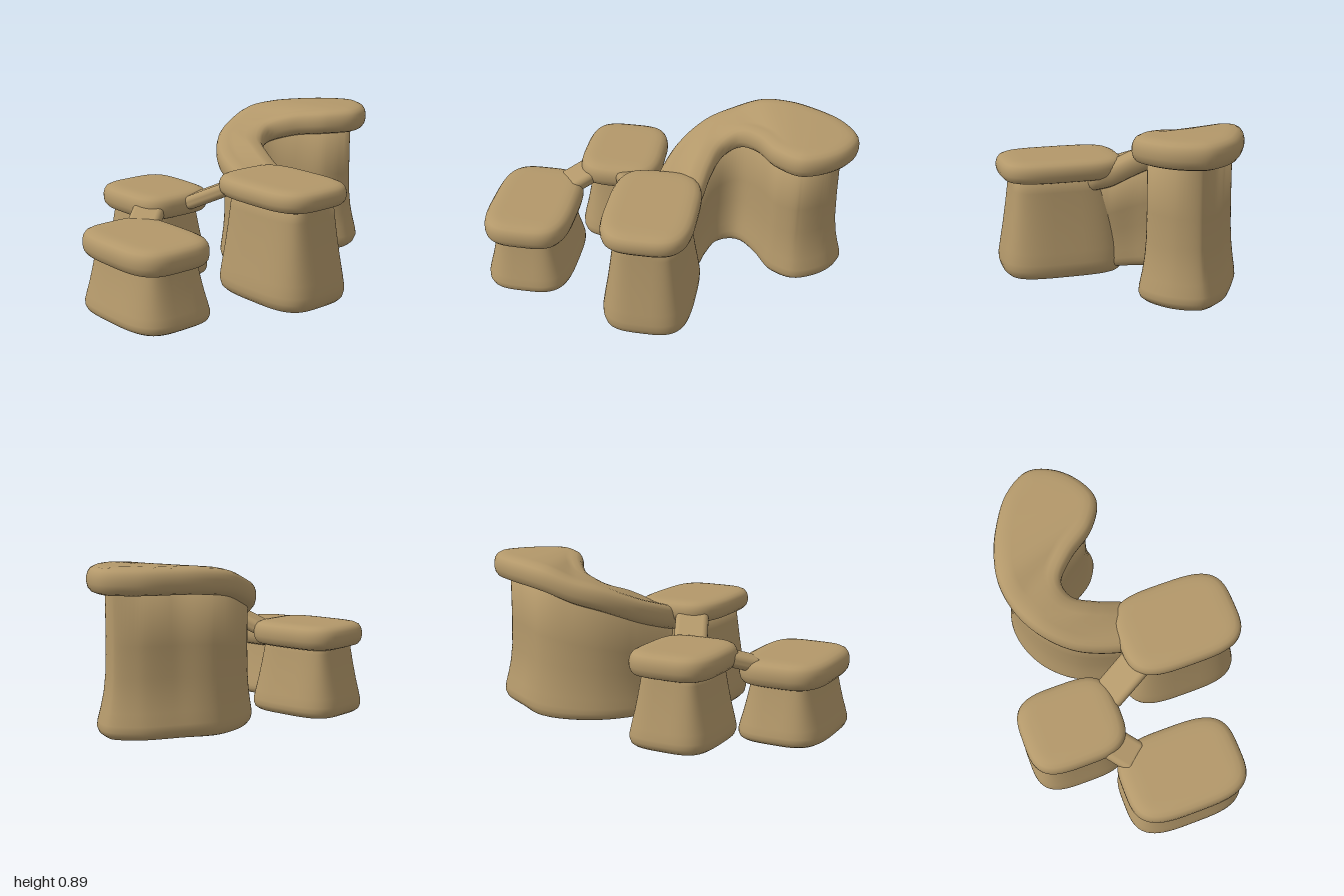
import * as THREE from 'three';
import { RoundedBoxGeometry } from 'three/addons/geometries/RoundedBoxGeometry.js';

const clay = new THREE.MeshStandardMaterial({ color: 0xb3986a });
clay.name = 'tan clay';

// Rounded slab edge: [inset, drop below the top as a share of thickness]
const CAP = [[0.09, 1], [0.045, 1], [0.02, 0.93], [0.006, 0.8], [0, 0.62], [0, 0.42],
  [0.006, 0.25], [0.018, 0.12], [0.04, 0.04], [0.07, 0.01], [0.1, 0]];
// Flared pedestal: [inset, share of height]
const PEDESTAL = [[0.09, 0], [0.05, 0], [0.028, 0.01], [0.01, 0.04], [0.002, 0.09], [0.002, 0.15],
  [0.012, 0.26], [0.028, 0.42], [0.045, 0.62], [0.06, 0.82], [0.07, 1]];
const WALL = [[0.08, 0], [0.05, 0], [0.036, 0.008], [0.025, 0.03], [0.02, 0.06], [0.022, 0.1],
  [0.03, 0.18], [0.038, 0.28], [0.043, 0.4], [0.045, 0.6], [0.045, 1]];

// Skin through inset copies of a closed outline; flat ends are closed by pairing opposite points
function loft(name, outline, profile, height) {
  const n = outline.length, pos = [], idx = [];
  for (const [inset, v] of profile) {
    outline.forEach((p, i) => {
      const a = outline[(i + n - 1) % n], b = outline[(i + 1) % n];
      const tx = b.x - a.x, tz = b.z - a.z, l = Math.hypot(tx, tz) || 1;
      const d = inset * (p.spread ?? 1);
      pos.push(p.x - d * tz / l, height(p, v), p.z + d * tx / l);
    });
  }
  for (let k = 0; k < profile.length - 1; k++) {
    for (let i = 0; i < n; i++) {
      const a = k * n + i, b = k * n + (i + 1) % n;
      idx.push(a, a + n, b, b, a + n, b + n);
    }
  }
  const top = (profile.length - 1) * n;
  for (let i = 0; i < n / 2; i++) {
    const a = i, b = i + 1, c = (n - i) % n, d = n - i - 1;
    for (const [p, q, r] of [[a, c, b], [b, c, d]]) {
      if (p === q || q === r || p === r) continue;
      idx.push(top + p, top + q, top + r, p, r, q);
    }
  }
  const geo = new THREE.BufferGeometry();
  geo.setAttribute('position', new THREE.Float32BufferAttribute(pos, 3));
  geo.setIndex(idx);
  geo.computeVertexNormals();
  const mesh = new THREE.Mesh(geo, clay);
  mesh.name = name;
  return mesh;
}

// Soft rectangle between x0..x1 and z0..z1
function softRectangle(x0, x1, z0, z1, n = 80) {
  const soft = c => Math.sign(c) * Math.pow(Math.abs(c), 0.58);
  return Array.from({ length: n }, (_, i) => {
    const a = (i / n) * Math.PI * 2;
    return {
      x: (x0 + x1) / 2 + soft(Math.cos(a)) * (x1 - x0) / 2,
      z: (z0 + z1) / 2 + soft(Math.sin(a)) * (z1 - z0) / 2,
    };
  });
}

function pedestal(name, x0, x1, z0, z1, base, top, thick) {
  const g = new THREE.Group();
  g.name = name;
  const outline = softRectangle(x0, x1, z0, z1);
  g.add(
    loft(name + 'Body', outline, PEDESTAL, (p, v) => base + v * (top - thick * 0.6 - base)),
    loft(name + 'Slab', outline, CAP, (p, v) => top - v * thick),
  );
  return g;
}

// Rounded bar between two points
function bridge(name, from, to, width, thick) {
  const a = new THREE.Vector3(...from), b = new THREE.Vector3(...to);
  const mesh = new THREE.Mesh(new RoundedBoxGeometry(width, thick, a.distanceTo(b), 4, 0.03), clay);
  mesh.position.copy(a).add(b).multiplyScalar(0.5);
  mesh.lookAt(b);
  mesh.name = name;
  return mesh;
}

// Curved wall outline: rows of outer x, z, inner x, z, outer height, inner height
function wallOutline(n = 160) {
  const rows = [
    [-0.31, -0.91, 0.03, -0.92, 0.895, 0.895],
    [-0.42, -0.75, 0.14, -0.72, 0.895, 0.895],
    [-0.485, -0.60, 0.06, -0.565, 0.89, 0.89],
    [-0.515, -0.44, -0.10, -0.45, 0.87, 0.87],
    [-0.485, -0.28, -0.195, -0.35, 0.82, 0.825],
    [-0.40, -0.13, -0.165, -0.27, 0.775, 0.76],
    [-0.24, 0.0, -0.05, -0.225, 0.705, 0.7],
    [0.0, 0.07, 0.1, -0.195, 0.635, 0.63],
    [0.12, 0.07, 0.2, -0.16, 0.61, 0.61],
  ];
  const V = (x, z, h) => new THREE.Vector3(x, h, z);
  const curve = new THREE.CatmullRomCurve3([
    V(-0.15, -1.0, 0.895),
    ...rows.map(r => V(r[2], r[3], r[5])),
    V(0.24, -0.03, 0.6),
    ...rows.map(r => V(r[0], r[1], r[4])).reverse(),
  ], true, 'centripetal');
  return Array.from({ length: n }, (_, i) => {
    const p = curve.getPoint(i / n);
    return { x: p.x, z: p.z, h: p.y, spread: 1 + THREE.MathUtils.smoothstep(-p.z, 0.5, 0.74) };
  });
}

export function createModel() {
  const model = new THREE.Group();
  model.name = 'steppedSeating';

  // Three stepped pedestals
  model.add(
    pedestal('frontPedestal', -0.25, 0.42, 0.51, 0.995, 0.005, 0.44, 0.135),
    pedestal('middlePedestal', -0.67, -0.12, 0.10, 0.57, 0.025, 0.525, 0.13),
    pedestal('tallPedestal', -0.01, 0.665, -0.21, 0.28, 0.012, 0.655, 0.115),
  );

  // Curved wall rising to the back
  const outline = wallOutline();
  const wall = new THREE.Group();
  wall.name = 'curvedWall';
  wall.add(
    loft('wallBody', outline, WALL, (p, v) => 0.045 + v * (p.h - 0.08 - 0.045)),
    loft('wallSlab', outline.map(p => ({ ...p, spread: 1 })), CAP, (p, v) => p.h - v * 0.135),
  );
  model.add(wall);

  // Bars linking the pedestals
  model.add(
    bridge('upperBridge', [-0.17, 0.46, 0.255], [0.08, 0.585, 0.14], 0.18, 0.075),
    bridge('lowerBridge', [-0.25, 0.455, 0.47], [-0.12, 0.4, 0.62], 0.175, 0.075),
  );
  return model;
}
